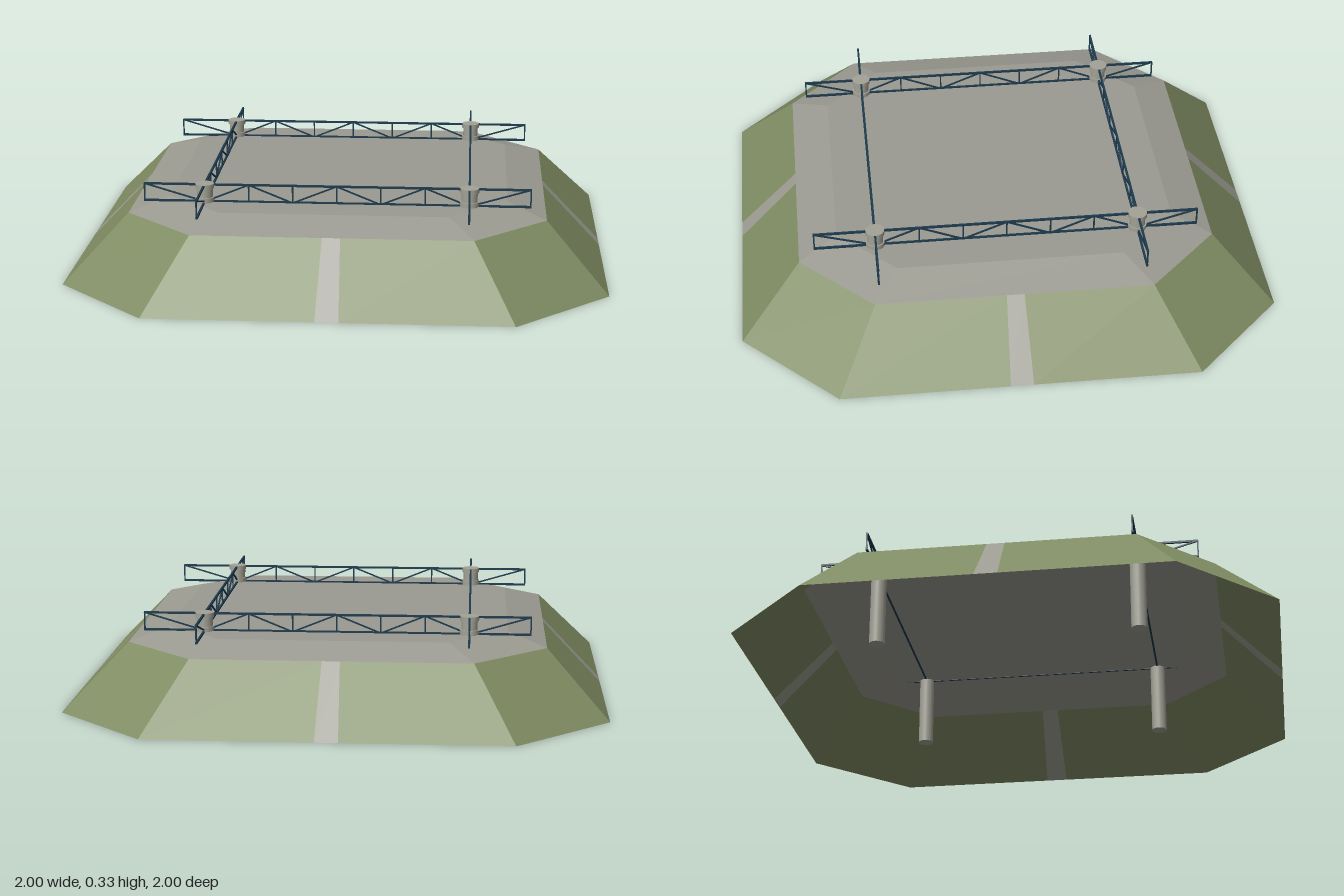
import * as THREE from 'three';
import { mergeGeometries } from 'three/addons/utils/BufferGeometryUtils.js';

const DECK_Y = 0.262, TRUSS_TOP = 0.324, NODE = 0.459, END = 0.67;

function material(name, color) {
  const m = new THREE.MeshStandardMaterial({ color, side: THREE.DoubleSide });
  m.name = name;
  return m;
}

// Chamfered-square rings of the mound: d = half width, h = half flat side
const RINGS = [
  { y: 0, d: 0.938, h: 0.616 },
  { y: 0.222, d: 0.726, h: 0.477 },
  { y: DECK_Y, d: 0.592, h: 0.392 },
];

// Flat sloped panel between two rings, from bottom-left round to top-left
function panel(a, b, c, d) {
  const g = new THREE.BufferGeometry();
  g.setAttribute('position', new THREE.Float32BufferAttribute([a, b, c, a, c, d].flat(), 3));
  g.computeVertexNormals();
  return g;
}

// Part of a flat side, between the fractions s0 and s1 of its half length
function sidePart(lo, hi, s0, s1) {
  return panel([lo.h * s0, lo.y, lo.d], [lo.h * s1, lo.y, lo.d],
    [hi.h * s1, hi.y, hi.d], [hi.h * s0, hi.y, hi.d]);
}

function corner(lo, hi) {
  return panel([lo.h, lo.y, lo.d], [lo.d, lo.y, lo.h], [hi.d, hi.y, hi.h], [hi.h, hi.y, hi.d]);
}

// Square bar between two points in the plane of a truss
function bar(x0, y0, x1, y1, t) {
  const g = new THREE.BoxGeometry(Math.hypot(x1 - x0, y1 - y0) + t * 0.5, t, t);
  g.rotateZ(Math.atan2(y1 - y0, x1 - x0));
  g.translate((x0 + x1) / 2, (y0 + y1) / 2, 0);
  return g;
}

function trussGeometry() {
  const parts = [
    bar(-END, DECK_Y + 0.002, END, DECK_Y + 0.002, 0.007),
    bar(-END, TRUSS_TOP, END, TRUSS_TOP, 0.007),
  ];
  // Posts at panel points, with a zigzag of diagonals
  const xs = [-END];
  for (let i = 0; i <= 6; i++) xs.push(-NODE + (i * NODE) / 3);
  xs.push(END);
  xs.forEach((x, i) => {
    parts.push(bar(x, DECK_Y, x, TRUSS_TOP, 0.005));
    if (i === 0) return;
    const up = i % 2 === 0;
    parts.push(bar(xs[i - 1], up ? DECK_Y : TRUSS_TOP, x, up ? TRUSS_TOP : DECK_Y, 0.005));
  });
  return mergeGeometries(parts);
}

export function createModel() {
  const grass = material('grass green', 0x7f8c63);
  const concrete = material('concrete grey', 0x9c9b92);
  const columnGrey = material('column grey', 0xa3a296);
  const steel = material('dark blue steel', 0x1d3a4d);

  const model = new THREE.Group();
  model.name = 'platform';
  const add = (parent, name, geometry, mat) => {
    const mesh = new THREE.Mesh(geometry, mat);
    mesh.name = name;
    parent.add(mesh);
    return mesh;
  };

  const [base, rim, top] = RINGS;
  const p = 0.064;
  const grassGeo = mergeGeometries([
    sidePart(base, rim, -1, -p), sidePart(base, rim, p, 1), corner(base, rim),
  ]);
  const pathGeo = sidePart(base, rim, -p, p);
  const rimGeo = mergeGeometries([sidePart(rim, top, -1, 1), corner(rim, top)]);
  const truss = trussGeometry();
  const shaft = new THREE.CylinderGeometry(0.028, 0.028, TRUSS_TOP, 16);
  const collar = new THREE.CylinderGeometry(0.033, 0.033, 0.016, 16);

  // One quarter of the platform, repeated around the centre
  for (let k = 0; k < 4; k++) {
    const quarter = new THREE.Group();
    quarter.name = 'quarter' + (k + 1);
    quarter.rotation.y = (k * Math.PI) / 2;
    model.add(quarter);

    add(quarter, 'grassSlope', grassGeo, grass);
    add(quarter, 'slopePath', pathGeo, concrete);
    add(quarter, 'deckRim', rimGeo, concrete);
    add(quarter, 'truss', truss, steel).position.z = NODE;

    // Column running from the ground through the deck, with collars on the trusses
    add(quarter, 'column', shaft, columnGrey).position.set(NODE, TRUSS_TOP / 2, NODE);
    for (const y of [DECK_Y + 0.01, TRUSS_TOP - 0.004])
      add(quarter, 'columnCollar', collar, columnGrey).position.set(NODE, y, NODE);
  }

  // Flat deck closing the top ring
  const outline = [];
  for (let k = 0; k < 4; k++) {
    const c = new THREE.Vector2(0, 0), a = (k * Math.PI) / 2;
    outline.push(new THREE.Vector2(top.d, -top.h).rotateAround(c, a));
    outline.push(new THREE.Vector2(top.d, top.h).rotateAround(c, a));
  }
  const deck = new THREE.ShapeGeometry(new THREE.Shape(outline));
  deck.rotateX(-Math.PI / 2);
  deck.translate(0, DECK_Y, 0);
  add(model, 'deck', deck, concrete);

  // The whole platform sits slightly turned
  model.rotation.y = THREE.MathUtils.degToRad(-6.1);
  const root = new THREE.Group();
  root.name = 'moundPlatform';
  root.add(model);
  return root;
}
